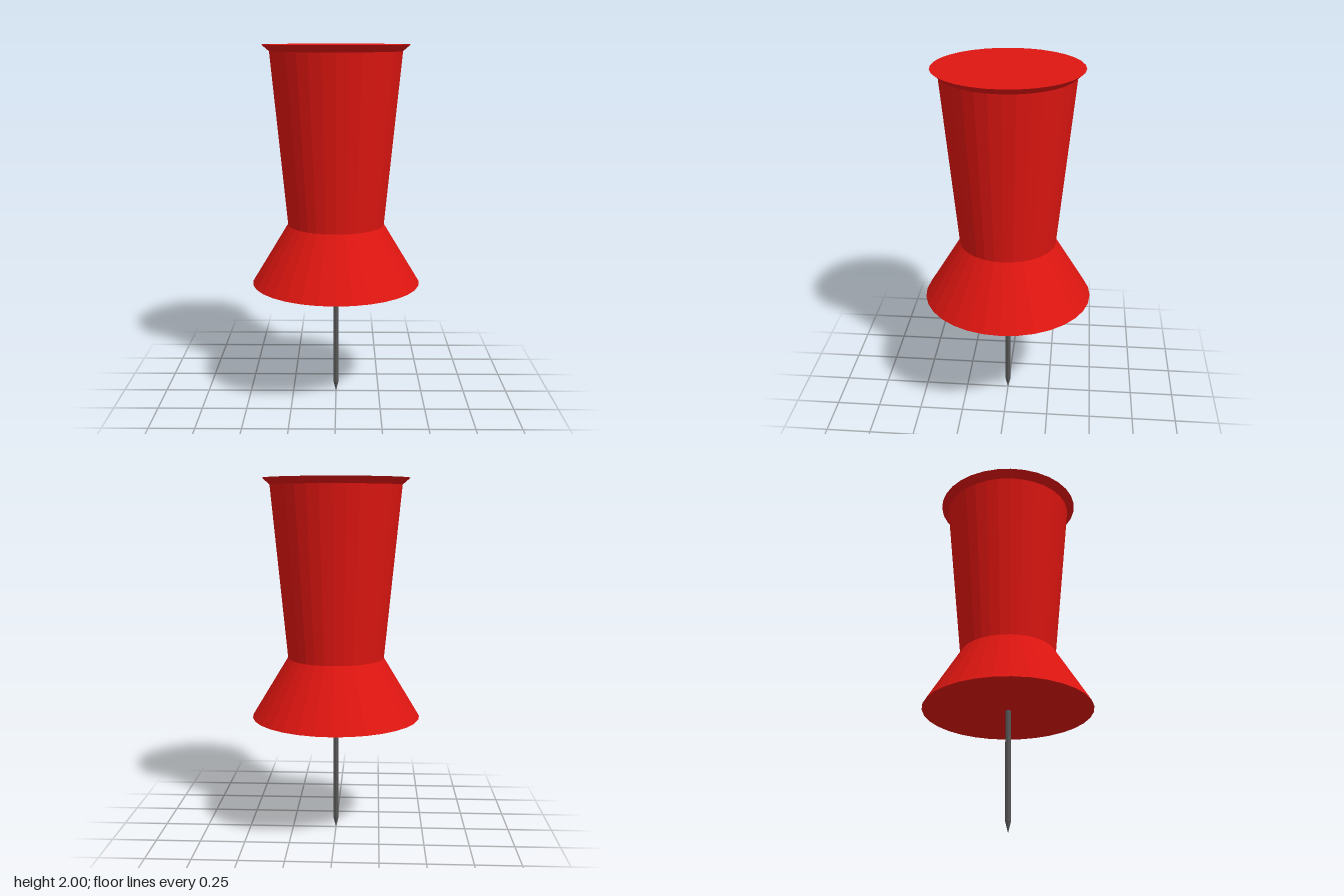
import * as THREE from 'three';

const red = new THREE.MeshStandardMaterial({ color: 0xdd1510, flatShading: true });
const steel = new THREE.MeshStandardMaterial({ color: 0x555555, flatShading: true });

// Turned part from [radius, height] points, listed bottom to top
function turned(name, profile, sides, material) {
  const points = profile.map(([r, y]) => new THREE.Vector2(r, y));
  const mesh = new THREE.Mesh(new THREE.LatheGeometry(points, sides), material);
  mesh.name = name;
  return mesh;
}

export function createModel() {
  const group = new THREE.Group();
  group.name = 'pushPin';

  // Flared skirt, tapered grip and lipped cap in one closed shell
  group.add(turned('handle', [
    [0, 0.675], [0.473, 0.675], // underside
    [0.27, 1.01],               // neck
    [0.362, 1.964],             // top of grip
    [0.404, 2], [0, 2],         // lip and flat cap
  ], 32, red));

  // Needle with a sharpened tip
  group.add(turned('needle', [
    [0, 0], [0.015, 0.06], [0.015, 0.69], [0, 0.69],
  ], 8, steel));

  return group;
}
